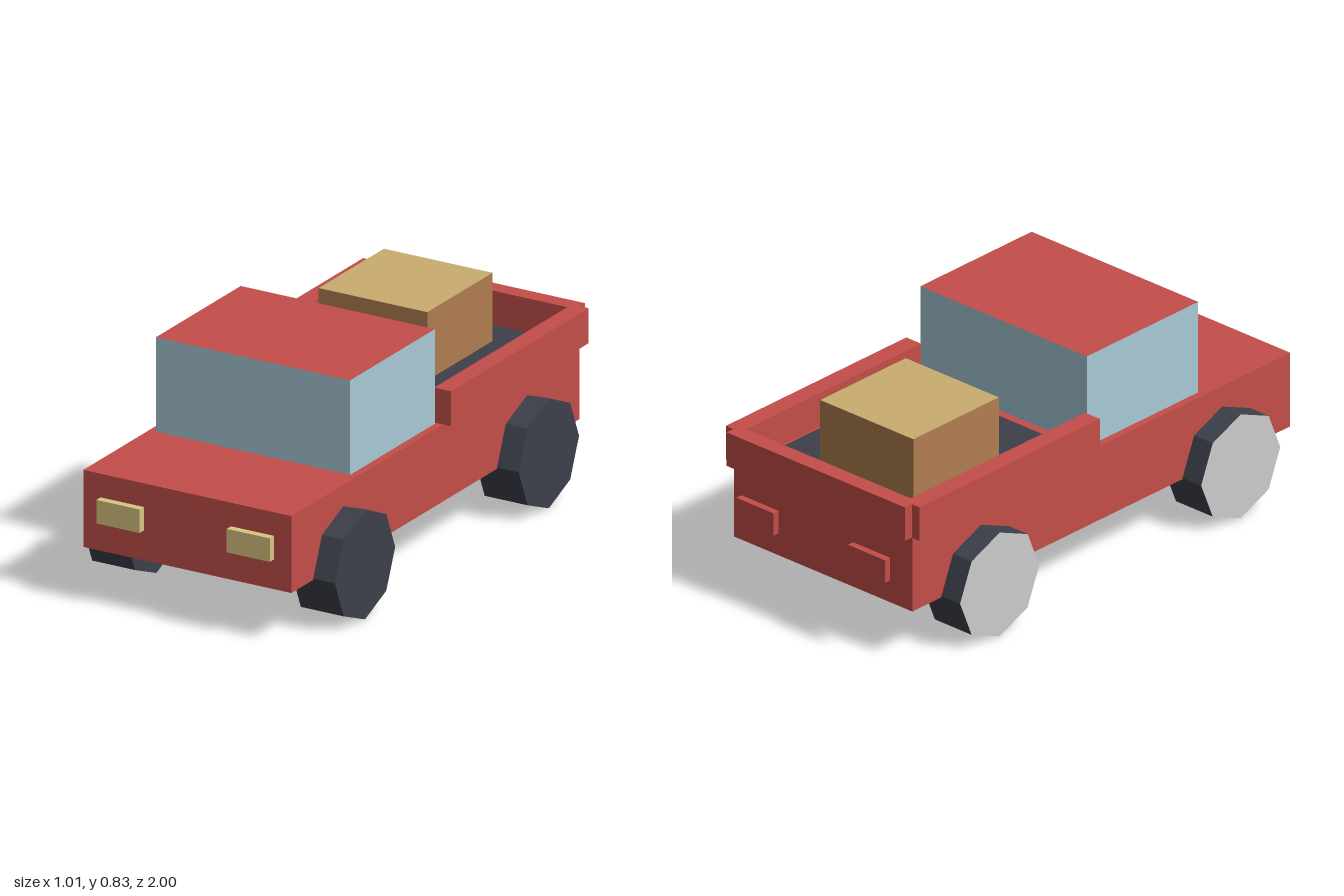
import * as THREE from 'three';

const paint = (color) => new THREE.MeshStandardMaterial({ color });
const RED = paint(0xc44e49);
const GLASS = paint(0xa8c9d6);
const DARK = paint(0x3c404a);
const LAMP = paint(0xd9c680);
const CRATE_SIDE = paint(0xb07d50);
const CRATE_TOP = paint(0xc9ac6e);
const HUB = paint(0xcccccc);

export function createModel() {
  const truck = new THREE.Group();
  truck.name = 'pickupTruck';

  // Box given by its minimum and maximum on each axis
  function box(name, [x0, x1], [y0, y1], [z0, z1], material) {
    const mesh = new THREE.Mesh(new THREE.BoxGeometry(x1 - x0, y1 - y0, z1 - z0), material);
    mesh.position.set((x0 + x1) / 2, (y0 + y1) / 2, (z0 + z1) / 2);
    mesh.name = name;
    truck.add(mesh);
  }
  // Box faces run +x, -x, +y, -y, +z, -z; only the top differs
  const withTop = (side, top) => [side, side, top, side, side, side];

  // Body and cab with a painted roof
  box('body', [-0.418, 0.418], [0.195, 0.479], [-0.937, 0.972], RED);
  box('cab', [-0.39, 0.39], [0.479, 0.828], [-0.025, 0.537], withTop(GLASS, RED));

  // Load bed and cargo
  box('bedFloor', [-0.365, 0.365], [0.47, 0.49], [-0.896, -0.073], DARK);
  box('tailgate', [-0.418, 0.418], [0.481, 0.61], [-0.974, -0.91], RED);
  box('crate', [-0.264, 0.172], [0.49, 0.742], [-0.766, -0.334], withTop(CRATE_SIDE, CRATE_TOP));

  // Eight-sided wheel, lying along x, with a pale cap facing -x
  const wheelGeometry = new THREE.CylinderGeometry(0.2, 0.2, 0.172, 8).toNonIndexed();
  wheelGeometry.computeVertexNormals();
  wheelGeometry.rotateZ(Math.PI / 2);

  for (const side of [-1, 1]) {
    const name = side > 0 ? 'left' : 'right';
    const span = (a, b) => (side > 0 ? [a, b] : [-b, -a]);

    box(name + 'BedRail', span(0.385, 0.453), [0.481, 0.61], [-0.94, -0.028], RED);
    box(name + 'Headlight', span(0.175, 0.348), [0.305, 0.392], [0.965, 1], LAMP);
    box(name + 'TailLight', span(0.175, 0.348), [0.305, 0.392], [-1, -0.974], RED);

    for (const [end, z] of [['Front', 0.628], ['Rear', -0.59]]) {
      // Cylinder groups: tread, top cap (now -x), bottom cap (now +x)
      const wheel = new THREE.Mesh(wheelGeometry, [DARK, HUB, DARK]);
      wheel.position.set(side * 0.419, 0.2, z);
      wheel.name = name + end + 'Wheel';
      truck.add(wheel);
    }
  }
  return truck;
}
